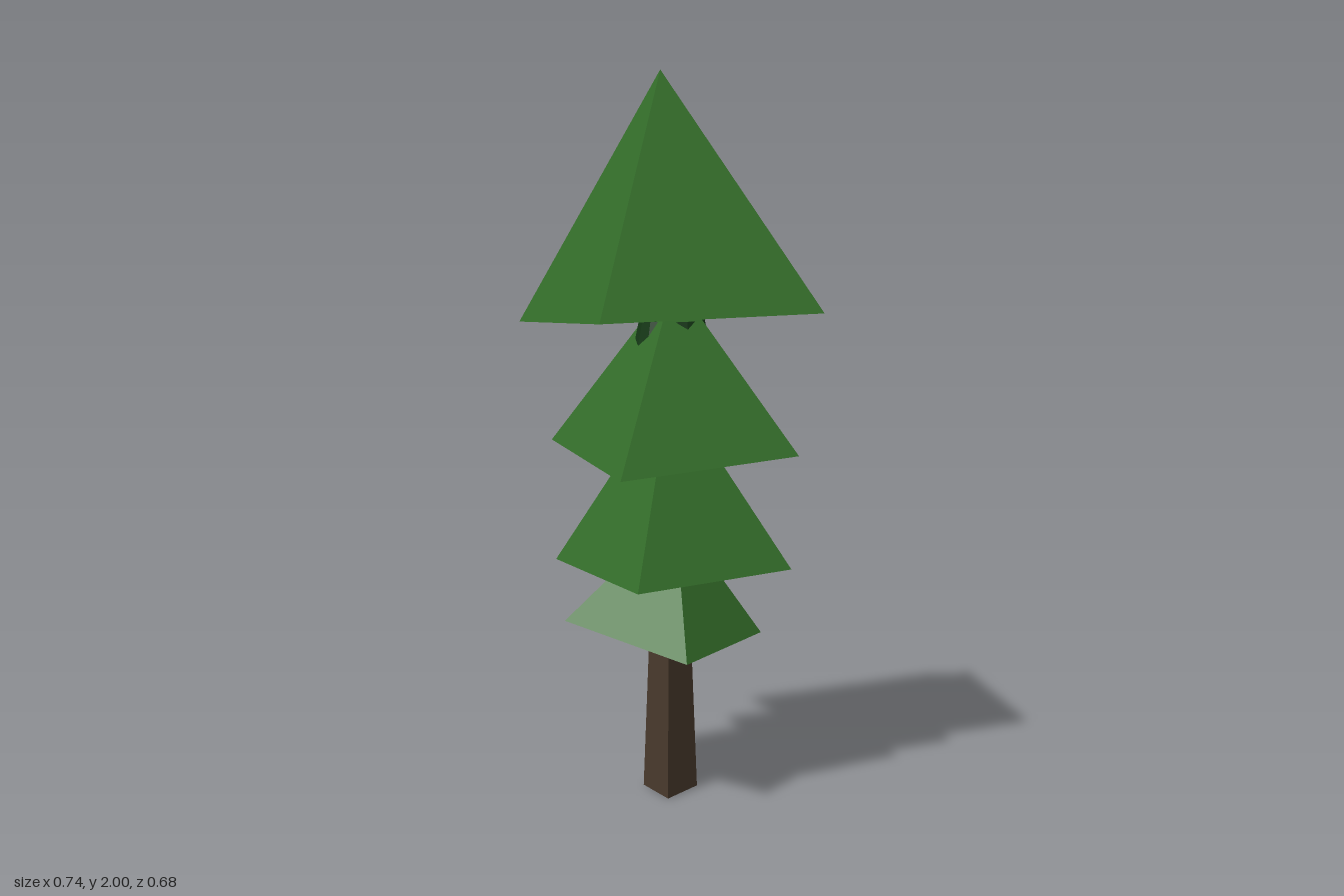
import * as THREE from 'three';

const foliage = new THREE.MeshStandardMaterial({ name: 'leaf green', color: 0x346e2a, flatShading: true });
const shade = new THREE.MeshStandardMaterial({ name: 'deep green', color: 0x153816, flatShading: true });
const bark = new THREE.MeshStandardMaterial({ name: 'bark brown', color: 0x4a3b2d, flatShading: true });

// Closed pyramid; corners run front-left, front-right, back-right, back-left as seen from the front
function pyramid(apex, [a, b, c, d]) {
  const faces = [[a, b, apex], [b, c, apex], [c, d, apex], [d, a, apex], [a, d, c], [a, c, b]];
  const geo = new THREE.BufferGeometry();
  geo.setAttribute('position', new THREE.Float32BufferAttribute(faces.flat(2), 3));
  geo.computeVertexNormals();
  return geo;
}

// Skewed foliage tiers, top to bottom
const tiers = [
  { name: 'topTier', apex: [0, 2, -0.05],
    corners: [[-0.37, 1.355, 0.335], [0.3, 1.355, 0.325], [0.367, 1.305, -0.34], [-0.3, 1.305, -0.33]] },
  { name: 'upperTier', apex: [0, 1.435, 0.03],
    corners: [[-0.28, 0.935, 0.27], [0.26, 0.965, 0.265], [0.31, 1.01, -0.27], [-0.23, 0.975, -0.27]] },
  { name: 'middleTier', apex: [0.005, 1.145, 0],
    corners: [[-0.235, 0.635, 0.28], [0.265, 0.645, 0.22], [0.22, 0.657, -0.28], [-0.235, 0.64, -0.235]] },
  { name: 'bottomTier', apex: [0.01, 0.79, 0.02],
    corners: [[-0.1, 0.435, 0.3], [0.255, 0.44, 0.07], [0.07, 0.505, -0.3], [-0.285, 0.5, -0.07]] },
];

// Dark collars tucked under the tiers: top radius, bottom radius, height, position
const collars = [
  [0.09, 0.11, 0.1, [0.01, 1.275, 0]],
  [0.1, 0.105, 0.05, [0, 0.95, 0]],
  [0.105, 0.11, 0.05, [0.01, 0.62, -0.025]],
];

export function createModel() {
  const tree = new THREE.Group();
  tree.name = 'pineTree';
  const add = (name, geo, mat, pos = [0, 0, 0]) => {
    const mesh = new THREE.Mesh(geo, mat);
    mesh.name = name;
    mesh.position.set(...pos);
    tree.add(mesh);
  };

  for (const t of tiers) add(t.name, pyramid(t.apex, t.corners), foliage);

  collars.forEach(([top, bottom, h, pos], i) =>
    add('collar' + (i + 1), new THREE.CylinderGeometry(top, bottom, h, 16), shade, pos));

  // Three-sided tapering trunk with one edge towards +x
  add('trunk', new THREE.CylinderGeometry(0.06, 0.087, 0.6, 3, 1, false, Math.PI / 2), bark, [0.003, 0.3, 0]);

  return tree;
}
